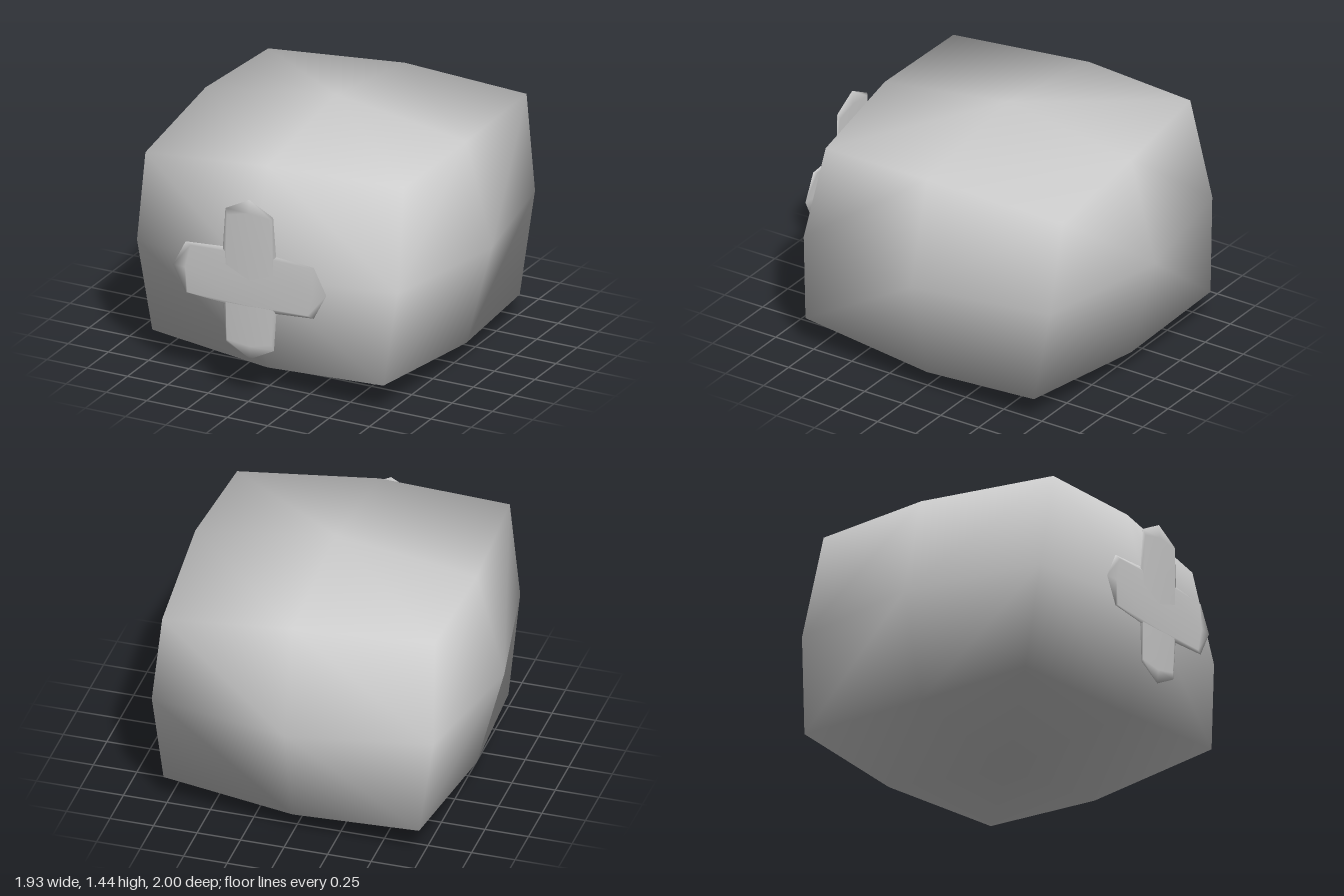
import * as THREE from 'three';

// Smooth puffed block: 6 face centres, 12 edge middles and 8 corners, where
// alternate corners are pulled differently to give a slight twist.
function puffedBlock(sx, sy, sz) {
  const scale = [sx, sy, sz];
  const positions = [], index = [], ids = new Map();

  const vertex = (p) => {
    const key = p.join();
    if (!ids.has(key)) {
      const count = p.filter((c) => c !== 0).length;
      let pull = [1, 1, 1];
      if (count === 2) pull = [0.836, 0.836, 0.838];
      if (count === 3) pull = p[0] * p[1] * p[2] < 0 ? [0.763, 0.764, 0.874] : [0.806, 0.805, 0.708];
      ids.set(key, positions.length / 3);
      positions.push(...p.map((c, i) => c * pull[i] * scale[i]));
    }
    return ids.get(key);
  };

  for (let axis = 0; axis < 3; axis++) {
    for (const side of [1, -1]) {
      const at = (u, v) => {
        const p = [0, 0, 0];
        p[axis] = side;
        p[(axis + 1) % 3] = u;
        p[(axis + 2) % 3] = v;
        return p;
      };
      const tri = (a, b, c) => index.push(...(side > 0 ? [a, b, c] : [a, c, b]));
      const centre = vertex(at(0, 0));
      // One quarter of the face per corner, counter-clockwise
      for (const [u, v] of [[1, 1], [-1, 1], [-1, -1], [1, -1]]) {
        const cornerPoint = at(u, v);
        const corner = vertex(cornerPoint);
        let first = vertex(at(u, 0)), second = vertex(at(0, v));
        if (u * v < 0) [first, second] = [second, first];
        const negative = cornerPoint[0] * cornerPoint[1] * cornerPoint[2] < 0;
        if (negative === (axis !== 1)) {
          tri(centre, first, corner);
          tri(centre, corner, second);
        } else {
          tri(centre, first, second);
          tri(first, corner, second);
        }
      }
    }
  }

  const geometry = new THREE.BufferGeometry();
  geometry.setAttribute('position', new THREE.Float32BufferAttribute(positions, 3));
  geometry.setIndex(index);
  geometry.computeVertexNormals();
  return geometry;
}

export function createModel() {
  const group = new THREE.Group();
  const paleGrey = new THREE.MeshStandardMaterial({ color: 0xcccccc });
  paleGrey.name = 'paleGrey';

  const add = (name, size, position) => {
    const mesh = new THREE.Mesh(puffedBlock(...size), paleGrey);
    mesh.name = name;
    mesh.position.set(...position);
    group.add(mesh);
    return mesh;
  };

  // Rounded body
  add('body', [0.967, 0.72, 0.967], [0, 0.72, -0.033]);

  // Crossed strips floating just ahead of the front, the upright one leaning
  // so its top lies over and its foot lies under the level one
  const upright = add('uprightStrip', [0.177, 0.478, 0.009], [0, 0.723, 0.986]);
  upright.rotation.x = 0.012;
  add('levelStrip', [0.475, 0.182, 0.009], [0, 0.72, 0.986]);

  return group;
}
